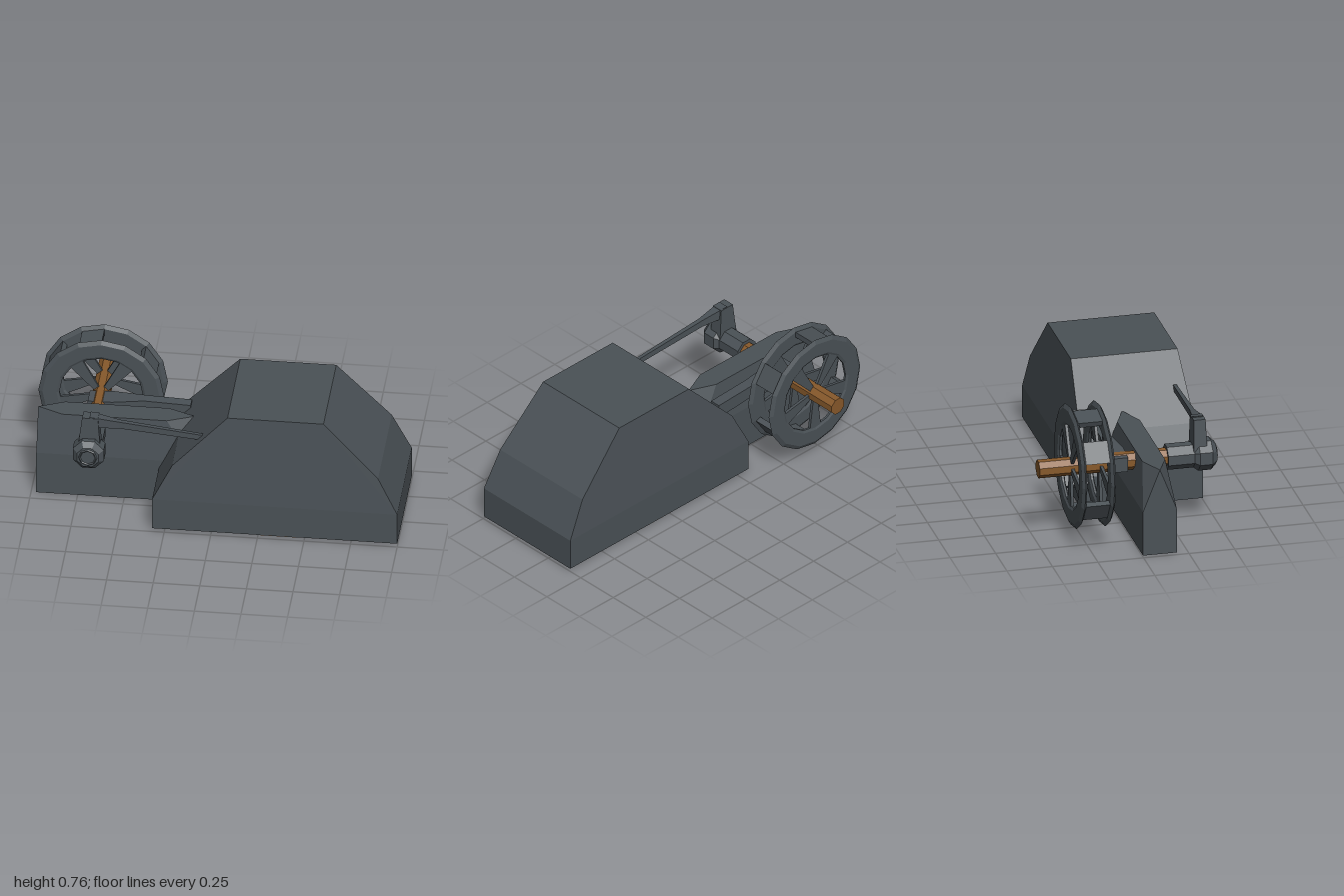
import * as THREE from 'three';
import { ConvexGeometry } from 'three/addons/geometries/ConvexGeometry.js';

const iron = new THREE.MeshStandardMaterial({ color: 0x4a5156 });
iron.name = 'dark iron';
const wood = new THREE.MeshStandardMaterial({ color: 0x87592b });
wood.name = 'brown wood';

const CX = -0.663, CY = 0.425; // axle centre

export function createModel() {
  const model = new THREE.Group();
  model.name = 'steamEngine';

  const add = (name, geometry, material = iron, parent = model) => {
    const g = geometry.index ? geometry.toNonIndexed() : geometry;
    g.computeVertexNormals(); // faceted look
    const mesh = new THREE.Mesh(g, material);
    mesh.name = name;
    parent.add(mesh);
    return mesh;
  };
  const hull = (name, pts, material, parent) =>
    add(name, new ConvexGeometry(pts.map(p => new THREE.Vector3(...p))), material, parent);
  // tapered bar through sections [x, yLow, yHigh, zLow, zHigh]
  const bar = (name, sections) => {
    for (let i = 0; i + 1 < sections.length; i++) {
      const pts = [];
      for (const [x, y0, y1, z0, z1] of [sections[i], sections[i + 1]])
        pts.push([x, y0, z0], [x, y1, z0], [x, y0, z1], [x, y1, z1]);
      hull(name, pts);
    }
  };
  // cylinder along z from z0 to z1
  const rod = (name, r0, r1, z0, z1, sides, material) => {
    const g = new THREE.CylinderGeometry(r1, r0, z1 - z0, sides);
    g.rotateY(Math.PI / sides).rotateX(Math.PI / 2);
    g.translate(CX, CY, (z0 + z1) / 2);
    return add(name, g, material);
  };

  // main housing: stepped slopes with sides leaning inwards
  const housing = [];
  for (const [x0, x1, y, z0, z1] of [
    [-0.315, 1, 0.017, -0.17, 0.495], [-0.315, 1, 0.2, -0.17, 0.495],
    [-0.21, 0.895, 0.41, -0.154, 0.479], [0.085, 0.6, 0.72, -0.13, 0.456]])
    housing.push([x0, y, z0], [x1, y, z0], [x0, y, z1], [x1, y, z1]);
  hull('housing', housing);
  add('housingBottomStrip', new THREE.BoxGeometry(0.23, 0.004, 0.66).translate(0.36, 0.016, 0.1625), wood);

  // bearing wall: box below, pointed hexagon on top
  const wall = [];
  for (const x of [-0.972, -0.13]) {
    for (const z of [0.004, 0.19]) for (const y of [0, 0.25]) wall.push([x, y, z]);
    wall.push([x, 0.485, 0.097]);
  }
  for (const x of [-0.835, -0.275]) for (const z of [0.035, 0.159]) wall.push([x, 0.485, z]);
  hull('bearingWall', wall);
  add('wallBottomStrip', new THREE.BoxGeometry(0.81, 0.004, 0.036).translate(-0.55, 0.0005 + 0.0015, 0.097), wood)
    .position.y = -0.001;

  // axle
  rod('axle', 0.05, 0.05, -0.497, 0.3, 8, wood);

  // flywheel: two rims with spokes, joined by six cross plates
  const wheel = new THREE.Group();
  wheel.name = 'flywheel';
  wheel.position.set(CX, CY, 0);
  model.add(wheel);
  const section = [[0.225, -0.006], [0.24, -0.0135], [0.315, -0.0135], [0.338, 0],
    [0.315, 0.0135], [0.24, 0.0135], [0.225, 0.006], [0.225, -0.006]]
    .map(p => new THREE.Vector2(...p));
  for (const z of [-0.316, -0.158]) {
    add('rim', new THREE.LatheGeometry(section, 16).rotateX(Math.PI / 2), iron, wheel).position.z = z;
    for (let i = 0; i < 5; i++) {
      const pts = [];
      for (const [r, w] of [[0.03, 0.014], [0.24, 0.042]])
        for (const s of [-w, w]) for (const d of [-0.008, 0.008]) pts.push([r, s, d]);
      const spoke = hull('spoke', pts, iron, wheel);
      spoke.position.z = z;
      spoke.rotation.z = Math.PI / 2 + Math.PI / 5 + i * Math.PI * 2 / 5;
    }
  }
  for (const k of [1, 4, 6, 9, 12, 14]) {
    const pts = [];
    for (const a of [k, k + 1]) for (const r of [0.283, 0.316]) for (const z of [-0.316, -0.158])
      pts.push([r * Math.cos(a * Math.PI / 8), r * Math.sin(a * Math.PI / 8), z]);
    hull('crossPlate', pts, iron, wheel);
  }

  // front crank hub with a chamfered cap
  rod('crankHub', 0.07, 0.07, 0.205, 0.36, 8);
  rod('crankCapBack', 0.07, 0.09, 0.35, 0.375, 8);
  rod('crankCap', 0.09, 0.09, 0.375, 0.445, 8);
  rod('crankCapFront', 0.09, 0.062, 0.445, 0.474, 8);
  add('crankPin', new THREE.TorusGeometry(0.045, 0.008, 4, 8).translate(CX, CY, 0.472));

  // crank arm standing up from the hub
  const arm = [];
  for (const [x0, x1, y, z0, z1] of [[-0.725, -0.6, 0.43, 0.345, 0.42], [-0.7, -0.615, 0.635, 0.35, 0.415]])
    arm.push([x0, y, z0], [x1, y, z0], [x0, y, z1], [x1, y, z1]);
  hull('crankArm', arm);

  // front connecting rod into the housing
  bar('connectingRod', [
    [-0.66, 0.575, 0.64, 0.352, 0.412], [-0.5, 0.575, 0.615, 0.376, 0.402],
    [0.02, 0.537, 0.567, 0.4, 0.418]]);

  // rear crank block and lever
  bar('rearLever', [
    [-0.72, 0.385, 0.465, -0.12, -0.015], [-0.59, 0.38, 0.47, -0.12, -0.01],
    [-0.42, 0.405, 0.475, -0.095, -0.035], [-0.17, 0.385, 0.465, -0.095, -0.035]]);

  return model;
}
